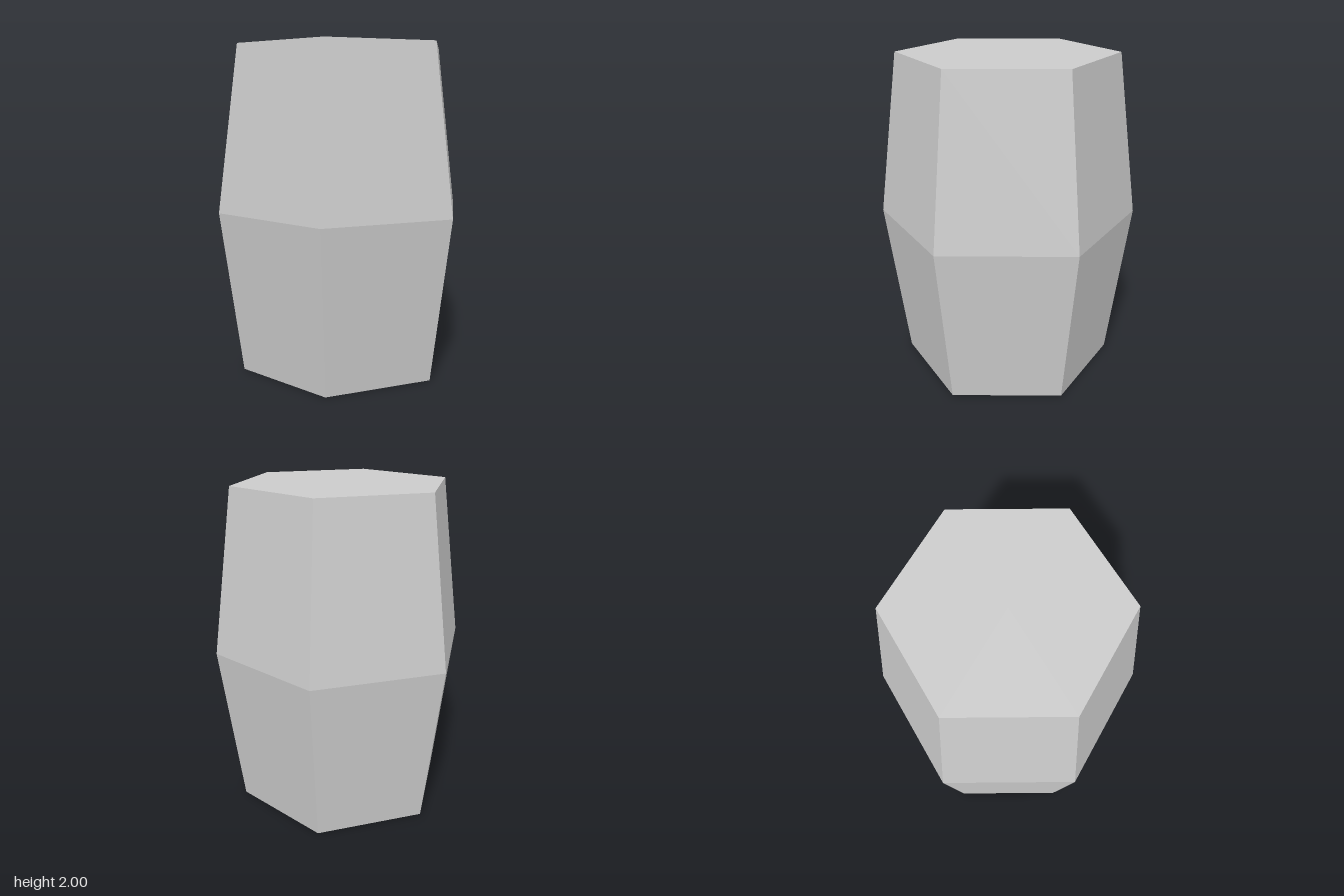
import * as THREE from 'three';

export function createModel() {
  const group = new THREE.Group();
  group.name = 'hexagonalBarrel';

  const lightGrey = new THREE.MeshStandardMaterial({ color: 0xcccccc, flatShading: true });
  lightGrey.name = 'lightGrey';

  // Closed half-outline, widest at mid-height
  const profile = [[0, 0], [0.667, 0], [0.8, 1], [0.667, 2], [0, 2]]
    .map(([r, y]) => new THREE.Vector2(r, y));

  // Six sides, turned so that corners lie on the x axis
  const body = new THREE.Mesh(new THREE.LatheGeometry(profile, 6, Math.PI / 6), lightGrey);
  body.name = 'barrelBody';
  group.add(body);

  return group;
}
